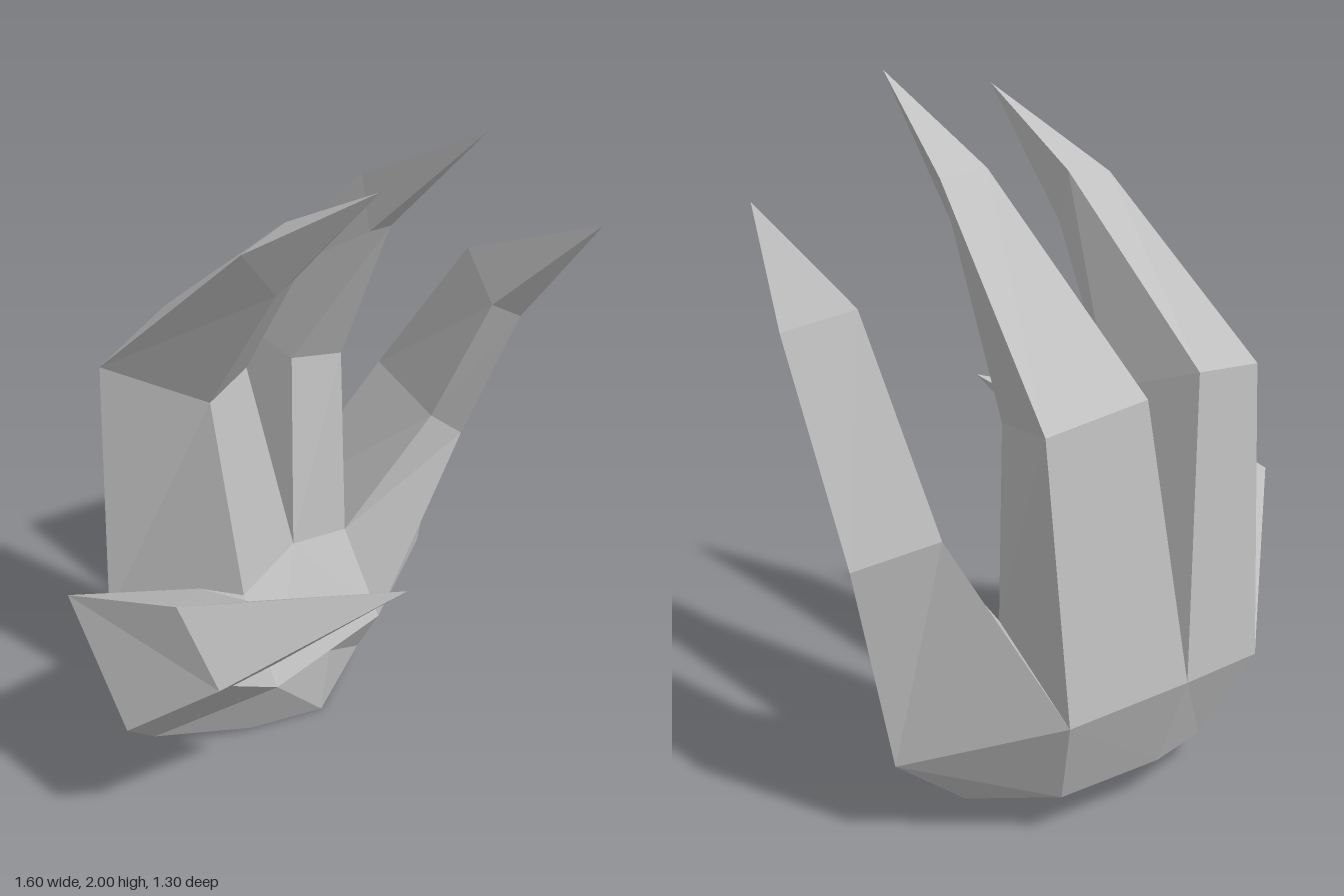
import * as THREE from 'three';

// Palm corners shared between the palm and the finger roots
const P = {
  // wrist rim, starting at the front and going round the right side
  w2: [-0.2, 0.01, -0.11], w3: [0.04, 0, -0.05], w4: [0.31, 0.05, -0.18], w5: [0.49, 0.1, -0.34],
  w6: [0.3, 0.125, -0.53], w7: [-0.04, 0.13, -0.54], w8: [-0.28, 0.1, -0.45], w9: [-0.36, 0.05, -0.24],
  // heel of the palm
  heelThumb: [-0.49, 0.06, -0.22], heelLeft: [0.69, 0.25, -0.3],
  frontA: [-0.18, 0.22, 0], frontMid: [0.06, 0.225, -0.035], frontB: [0.3, 0.23, -0.07],
  // clefts between the fingers, front and back
  cleftA: [-0.2, 0.5, -0.13], cleftB: [0.03, 0.57, -0.17], cleftC: [0.26, 0.52, -0.19],
  backA: [-0.43, 0.34, -0.52], backB: [-0.04, 0.42, -0.655], backC: [0.36, 0.4, -0.64],
};

// Each finger: root corners, two four-sided cross-sections and a tip
const fingers = [
  {
    name: 'thumb', root: ['backA', 'heelThumb', 'frontA', 'cleftA'],
    rings: [
      [[-0.79, 0.74, -0.17], [-0.8, 0.43, 0.1], [-0.46, 0.44, 0.14], [-0.43, 0.67, -0.04]],
      [[-0.7, 0.86, 0.22], [-0.68, 0.66, 0.37], [-0.455, 0.62, 0.33], [-0.455, 0.77, 0.22]],
    ],
    tip: [-0.27, 0.94, 0.65],
  },
  {
    name: 'firstFinger', root: ['backA', 'cleftA', 'cleftB', 'backB'],
    rings: [
      [[-0.44, 1.22, -0.47], [-0.22, 1.12, -0.24], [-0.06, 1.17, -0.27], [-0.12, 1.28, -0.58]],
      [[-0.315, 1.7, 0.04], [-0.215, 1.56, 0.06], [-0.13, 1.58, 0.04], [-0.13, 1.73, 0]],
    ],
    tip: [-0.14, 1.93, 0.38],
  },
  {
    name: 'middleFinger', root: ['backB', 'cleftB', 'cleftC', 'backC'],
    rings: [
      [[0.06, 1.24, -0.58], [0.08, 1.17, -0.23], [0.275, 1.125, -0.23], [0.39, 1.2, -0.57]],
      [[0.18, 1.78, -0.04], [0.175, 1.62, 0], [0.265, 1.61, -0.01], [0.335, 1.77, -0.04]],
    ],
    tip: [0.235, 2, 0.38],
  },
  {
    name: 'outerFinger', root: ['backC', 'cleftC', 'frontB', 'heelLeft'],
    rings: [
      [[0.6, 0.92, -0.41], [0.51, 0.89, -0.07], [0.595, 0.82, -0.02], [0.8, 0.84, -0.28]],
      [[0.59, 1.45, -0.02], [0.56, 1.32, 0.12], [0.63, 1.28, 0.17], [0.765, 1.39, 0.09]],
    ],
    tip: [0.63, 1.66, 0.46],
  },
];

// Fan each polygon into triangles
function facetMesh(name, polygons, material) {
  const positions = [];
  for (const poly of polygons) {
    for (let i = 1; i < poly.length - 1; i++) positions.push(...poly[0], ...poly[i], ...poly[i + 1]);
  }
  const geometry = new THREE.BufferGeometry();
  geometry.setAttribute('position', new THREE.Float32BufferAttribute(positions, 3));
  geometry.computeVertexNormals();
  const mesh = new THREE.Mesh(geometry, material);
  mesh.name = name;
  return mesh;
}

// Skin the cross-sections of a finger and close it to a point
function fingerPolygons({ root, rings, tip }) {
  const sections = [root.map((key) => P[key]), ...rings];
  const polygons = [];
  for (let i = 0; i < 4; i++) {
    const j = (i + 1) % 4;
    for (let s = 0; s < sections.length - 1; s++) {
      const a = sections[s], b = sections[s + 1];
      polygons.push([a[i], a[j], b[j], b[i]]);
    }
    const last = sections[sections.length - 1];
    polygons.push([last[i], last[j], tip]);
  }
  return polygons;
}

export function createModel() {
  const group = new THREE.Group();
  group.name = 'clawedHand';
  const grey = new THREE.MeshStandardMaterial({ color: 0xc0c0c0, flatShading: true });
  grey.name = 'plain grey';

  const named = (list) => list.map((line) => line.split(' ').map((key) => P[key]));

  // Palm: front, heel and back
  group.add(facetMesh('palm', named([
    'cleftB cleftA frontA frontMid frontB cleftC',
    'frontA w2 w3 frontMid',
    'frontMid w3 w4 frontB',
    'frontB w4 w5 heelLeft',
    'heelLeft w5 w6',
    'heelLeft w6 backC',
    'backC w6 w7 backB',
    'backB w7 w8 backA',
    'backA w8 heelThumb',
    'heelThumb w2 frontA',
    'w2 heelThumb w9',
    'heelThumb w8 w9',
  ]), grey));

  // Flat cut at the wrist
  group.add(facetMesh('wristBase', named(['w9 w8 w7 w6 w5 w4 w3 w2']), grey));

  for (const finger of fingers) group.add(facetMesh(finger.name, fingerPolygons(finger), grey));
  return group;
}
